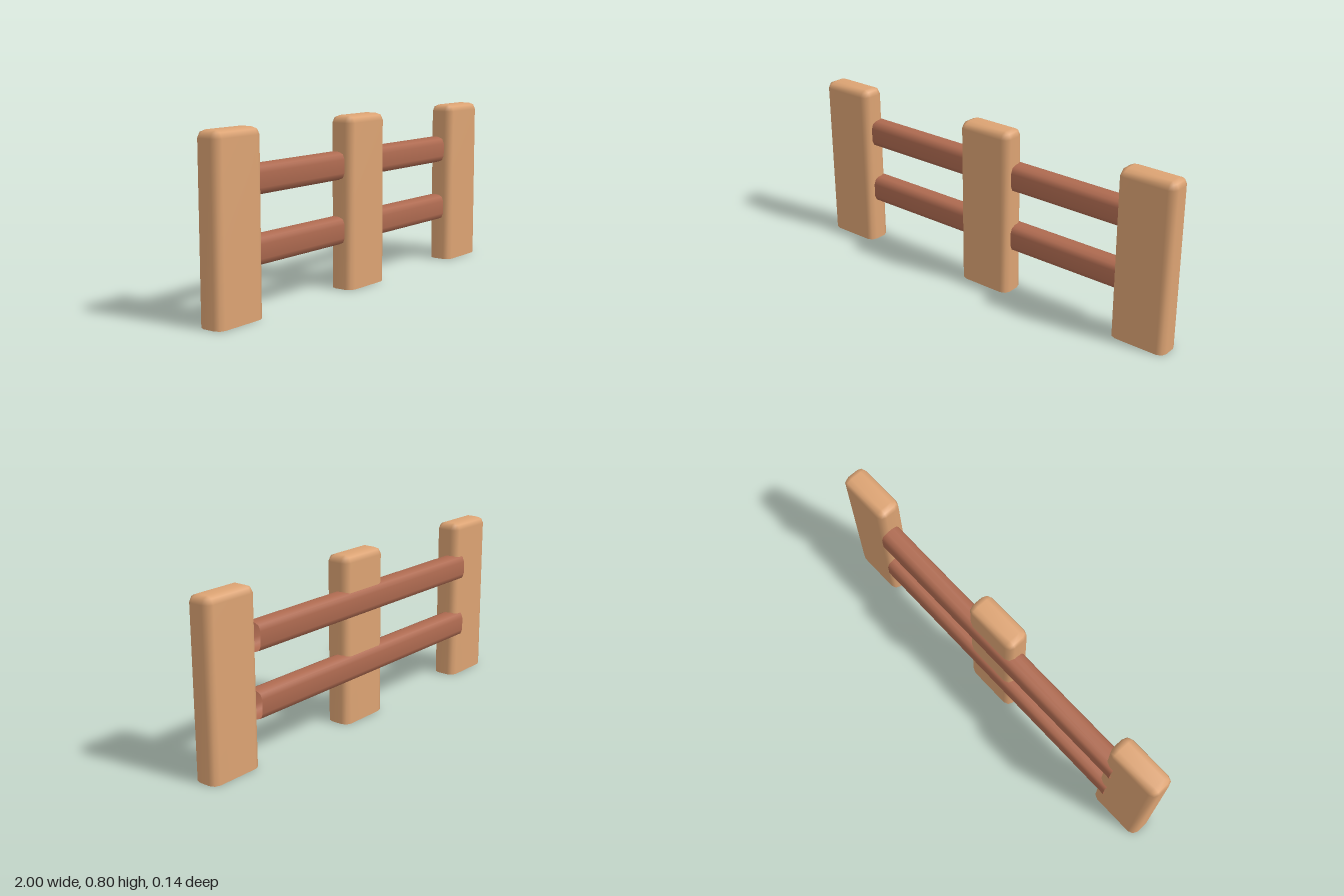
import * as THREE from 'three';
import { mergeVertices } from 'three/addons/utils/BufferGeometryUtils.js';

const RADIUS = 0.033; // edge rounding shared by posts and rails

// Upright tube with a rounded rectangular section; rings are [y, cornerRadius].
function roundedTube(width, depth, rings, capped) {
  const positions = [];
  const index = [];
  const n = 12;
  for (const [y, r] of rings) {
    for (let corner = 0; corner < 4; corner++) {
      const sx = corner === 0 || corner === 3 ? 1 : -1;
      const sz = corner < 2 ? 1 : -1;
      for (let step = 0; step < 3; step++) {
        const a = (corner + step / 2) * Math.PI / 2;
        positions.push(
          sx * (width / 2 - RADIUS) + r * Math.cos(a), y,
          sz * (depth / 2 - RADIUS) + r * Math.sin(a)
        );
      }
    }
  }
  for (let j = 0; j < rings.length - 1; j++) {
    for (let i = 0; i < n; i++) {
      const a = j * n + i, b = j * n + (i + 1) % n;
      index.push(a, a + n, b, b, a + n, b + n);
    }
  }
  if (capped) {
    const base = (rings.length - 1) * n;
    for (let i = 1; i < n - 1; i++) index.push(base, base + i + 1, base + i);
  }
  const geometry = new THREE.BufferGeometry();
  geometry.setAttribute('position', new THREE.Float32BufferAttribute(positions, 3));
  geometry.setIndex(index);
  const merged = mergeVertices(geometry, 1e-5);
  merged.computeVertexNormals();
  return merged;
}

export function createModel() {
  const group = new THREE.Group();
  group.name = 'fence';

  const postWood = new THREE.MeshStandardMaterial({ color: 0xdca373, side: THREE.DoubleSide });
  postWood.name = 'light wood';
  const railWood = new THREE.MeshStandardMaterial({ color: 0xae6a50, side: THREE.DoubleSide });
  railWood.name = 'red brown wood';

  // Posts: rounded top, open underneath
  const height = 0.8;
  const postRings = [[0, RADIUS]];
  for (let i = 0; i <= 2; i++) {
    const a = i * Math.PI / 4;
    postRings.push([height - RADIUS + RADIUS * Math.sin(a), i === 2 ? 0 : RADIUS * Math.cos(a)]);
  }
  const postGeometry = roundedTube(0.274, 0.12, postRings, true);
  [['rightPost', -0.863], ['middlePost', 0.01], ['leftPost', 0.861]].forEach(([name, x]) => {
    const post = new THREE.Mesh(postGeometry, postWood);
    post.name = name;
    post.position.set(x, 0, 0.008);
    group.add(post);
  });

  // Rails: open-ended bars set towards the back of the posts
  const railGeometry = roundedTube(0.128, 0.101, [[-0.783, RADIUS], [0.723, RADIUS]], false);
  railGeometry.rotateZ(-Math.PI / 2);
  [['lowerRail', 0.273], ['upperRail', 0.572]].forEach(([name, y]) => {
    const rail = new THREE.Mesh(railGeometry, railWood);
    rail.name = name;
    rail.position.set(0, y, -0.0175);
    group.add(rail);
  });

  return group;
}
